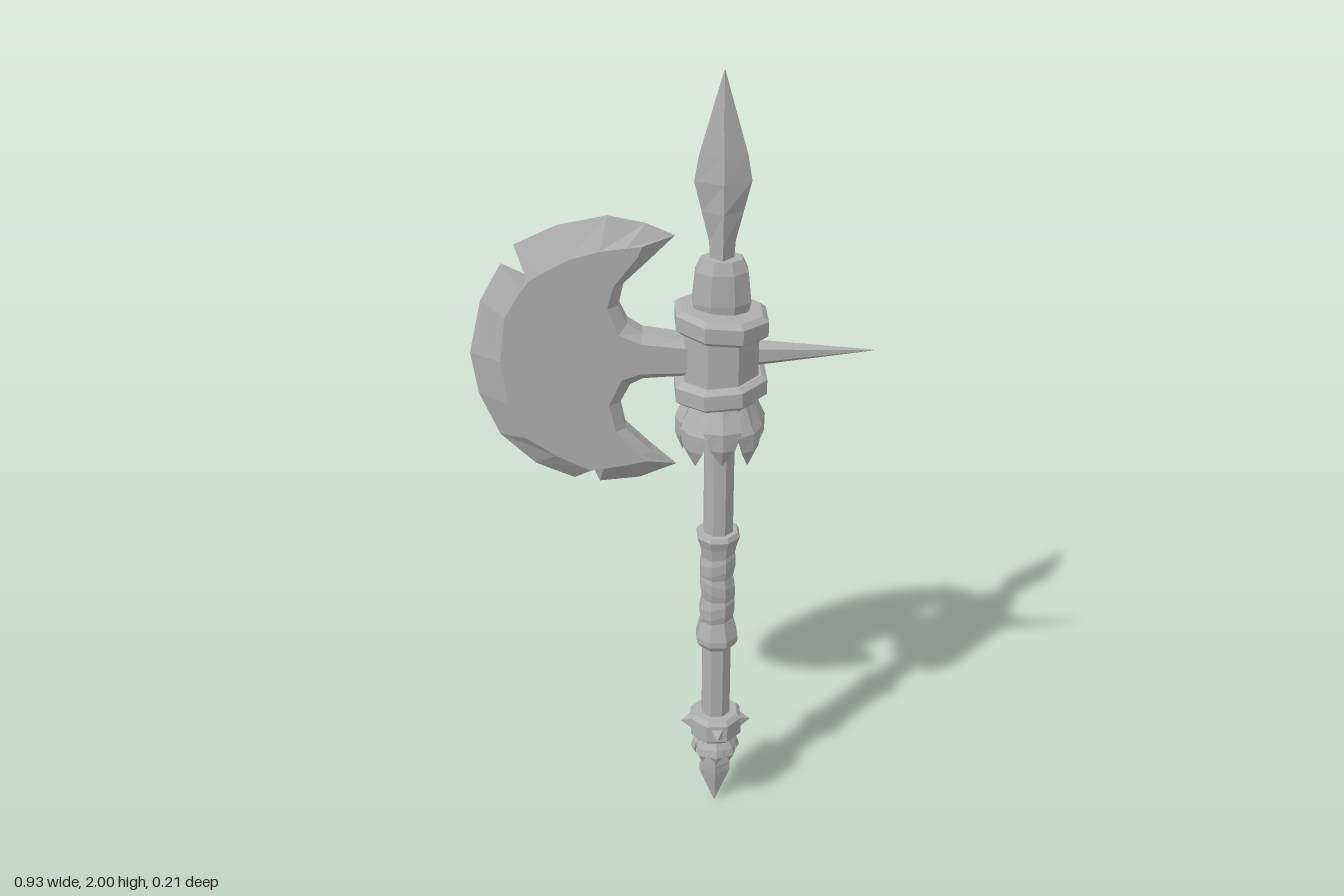
import * as THREE from 'three';

const AXIS = 0.105; // x of the shaft

// Faceted geometry from a list of triangle corner points
function facets(points) {
  const g = new THREE.BufferGeometry().setFromPoints(points);
  g.computeVertexNormals();
  return g;
}

// Skin a stack of rings (each counterclockwise seen from above, lowest first)
function loft(rings) {
  const tris = [], n = rings[0].length, top = rings[rings.length - 1];
  for (let k = 0; k < rings.length - 1; k++) {
    const a = rings[k], b = rings[k + 1];
    for (let i = 0; i < n; i++) {
      const j = (i + 1) % n;
      tris.push(a[i], a[j], b[j], a[i], b[j], b[i]);
    }
  }
  for (let i = 1; i < n - 1; i++) {
    tris.push(rings[0][0], rings[0][i + 1], rings[0][i], top[0], top[i], top[i + 1]);
  }
  return facets(tris);
}

// Elliptical ring with n sides; tilt raises the +x side
function ring(y, rx, rz, n = 8, tilt = 0, cx = 0) {
  const start = n === 8 ? Math.PI / 8 : 0;
  return Array.from({ length: n }, (_, i) => {
    const a = start + (i / n) * Math.PI * 2;
    const x = Math.cos(a) * rx;
    return new THREE.Vector3(cx + x, y + x * tilt, -Math.sin(a) * rz);
  });
}

// Axe head: bevelled plate. Rows are rim x, rim y, face x, face y
function bladeGeometry() {
  const edge = [
    [0, 1.625, -0.075, 1.615], [-0.065, 1.655, -0.11, 1.612], [-0.15, 1.675, -0.17, 1.605],
    [-0.26, 1.655, -0.235, 1.588], [-0.36, 1.61, -0.3, 1.555], [-0.33, 1.535, -0.33, 1.535],
    [-0.39, 1.565, -0.345, 1.515], [-0.44, 1.475, -0.385, 1.45], [-0.47, 1.345, -0.4, 1.34],
    [-0.455, 1.24, -0.385, 1.23], [-0.41, 1.13, -0.35, 1.14], [-0.33, 1.05, -0.28, 1.09],
    [-0.24, 1.008, -0.225, 1.06], [-0.2, 1.048, -0.2, 1.048], [-0.18, 0.997, -0.17, 1.052],
    [-0.085, 1.005, -0.115, 1.06], [0.003, 1.04, -0.07, 1.07],
  ];
  const inner = [
    [-0.055, 1.085, -0.085, 1.085], [-0.117, 1.15, -0.14, 1.15], [-0.13, 1.217, -0.155, 1.22],
    [-0.105, 1.265, -0.125, 1.285], [-0.075, 1.28, -0.08, 1.3], [0.04, 1.285, 0.04, 1.3],
    [0.04, 1.375, 0.04, 1.36], [-0.075, 1.395, -0.08, 1.375], [-0.11, 1.42, -0.13, 1.4],
    [-0.13, 1.465, -0.155, 1.465], [-0.117, 1.52, -0.14, 1.52], [-0.06, 1.575, -0.085, 1.59],
  ];
  const rows = [...edge, ...inner], n = rows.length, tris = [];
  const rim = (i, s) => new THREE.Vector3(rows[i][0], rows[i][1], i < edge.length ? 0 : s * 0.02);
  const face = (i, s) => new THREE.Vector3(rows[i][2], rows[i][3], s * 0.04);
  for (let i = 0; i < n; i++) {
    const j = (i + 1) % n;
    tris.push(rim(i, 1), rim(j, 1), face(j, 1), rim(i, 1), face(j, 1), face(i, 1));
    tris.push(rim(j, -1), rim(i, -1), face(j, -1), face(j, -1), rim(i, -1), face(i, -1));
    if (i >= edge.length || j >= edge.length) {
      tris.push(rim(i, -1), rim(j, -1), rim(j, 1), rim(i, -1), rim(j, 1), rim(i, 1));
    }
  }
  const outline = rows.map((r) => new THREE.Vector2(r[2], r[3]));
  for (const [a, b, c] of THREE.ShapeUtils.triangulateShape(outline, [])) {
    tris.push(face(a, 1), face(b, 1), face(c, 1), face(a, -1), face(c, -1), face(b, -1));
  }
  return facets(tris);
}

export function createModel() {
  const model = new THREE.Group();
  const steel = new THREE.MeshStandardMaterial({ color: 0xb0b0b0 });
  steel.name = 'grey steel';

  function add(name, geometry, x = AXIS, y = 0, z = 0, parent = model) {
    const mesh = new THREE.Mesh(geometry, steel);
    mesh.name = name;
    mesh.position.set(x, y, z);
    parent.add(mesh);
    return mesh;
  }
  // Rows are y, half width x, half depth z
  const stack = (name, rows, n = 8) => add(name, loft(rows.map(([y, rx, rz]) => ring(y, rx, rz ?? rx, n))));

  // Crown of pointed, ridged leaves hanging around the shaft; rows are y, radius, half width, thickness
  function leaves(name, count, rows) {
    const group = new THREE.Group();
    group.name = name;
    group.position.x = AXIS;
    const geometry = loft(rows.map(([y, r, w, t]) => ring(y, t, w, 4, 0, r)));
    for (let i = 0; i < count; i++) {
      const leaf = add('leaf', geometry, 0, 0, 0, group);
      leaf.rotation.y = (i / count) * Math.PI * 2;
      leaf.scale.y = 1 - (i % 2) * 0.012;
    }
    model.add(group);
  }

  stack('shaft', [[0.2, 0.038], [1.3, 0.038]]);

  // Head: blade, core, tilted collars and back spike
  add('axeBlade', bladeGeometry(), 0);
  stack('headCore', [[1.22, 0.092, 0.09], [1.42, 0.092, 0.09]]);
  for (const [name, y, tilt] of [['upperCollar', 1.418, -0.09], ['lowerCollar', 1.253, 0.08]]) {
    const rows = [[-0.029, 0.1], [-0.018, 0.114], [0.018, 0.114], [0.029, 0.1]];
    add(name, loft(rows.map(([dy, r]) => ring(dy, r, r * 0.94, 8, tilt))), AXIS, y);
  }
  const spike = add('backSpike', loft([ring(0, 0.036, 0.024, 6), ring(0.3, 0.001, 0.001, 6)]), 0.16, 1.33);
  spike.rotation.z = -Math.PI / 2;

  // Top block and spear point
  stack('topBlock', [[1.43, 0.062, 0.044], [1.465, 0.072, 0.048], [1.54, 0.064, 0.045], [1.57, 0.05, 0.035]]);
  stack('spearPoint', [
    [1.55, 0.026, 0.024], [1.61, 0.03, 0.028], [1.68, 0.047, 0.031],
    [1.75, 0.064, 0.029], [1.81, 0.054, 0.023], [2, 0.001, 0.001],
  ], 4);

  leaves('headLeaves', 8, [
    [1.08, 0.087, 0.001, 0.001], [1.125, 0.095, 0.03, 0.01], [1.17, 0.093, 0.045, 0.013], [1.245, 0.06, 0.03, 0.012],
  ]);

  // Grip: flared cuffs with slanted wraps between
  stack('lowerCuff', [[0.515, 0.046], [0.53, 0.055], [0.545, 0.055], [0.595, 0.042]]);
  stack('upperCuff', [[0.78, 0.042], [0.815, 0.048], [0.84, 0.056], [0.852, 0.05]]);
  [[0.625, 0.3], [0.69, -0.3], [0.755, 0.3]].forEach(([y, tilt], i) => {
    const rows = [[-0.042, 0.04], [-0.012, 0.046], [0.015, 0.046], [0.042, 0.04]];
    add('gripWrap' + (i + 1), loft(rows.map(([dy, r]) => ring(dy, r, r, 8, tilt))), AXIS, y);
  });

  // Studded pommel collar
  stack('pommelCollar', [[0.23, 0.058], [0.242, 0.069], [0.29, 0.069], [0.302, 0.058]]);
  const studGeometry = new THREE.ConeGeometry(0.03, 0.04, 4).toNonIndexed();
  studGeometry.computeVertexNormals();
  studGeometry.rotateY(Math.PI / 4).rotateZ(-Math.PI / 2).translate(0.07, 0, 0);
  for (let i = 0; i < 4; i++) {
    add('pommelStud', studGeometry, AXIS, 0.267).rotation.y = (i * Math.PI) / 2;
  }

  leaves('pommelLeaves', 8, [
    [0.16, 0.05, 0.001, 0.001], [0.185, 0.056, 0.016, 0.007], [0.205, 0.05, 0.02, 0.008], [0.24, 0.032, 0.014, 0.008],
  ]);
  stack('pommelPoint', [
    [0, 0.001, 0.001], [0.1, 0.04, 0.019], [0.125, 0.04, 0.021], [0.18, 0.024, 0.02], [0.24, 0.022, 0.022],
  ], 4);

  return model;
}
